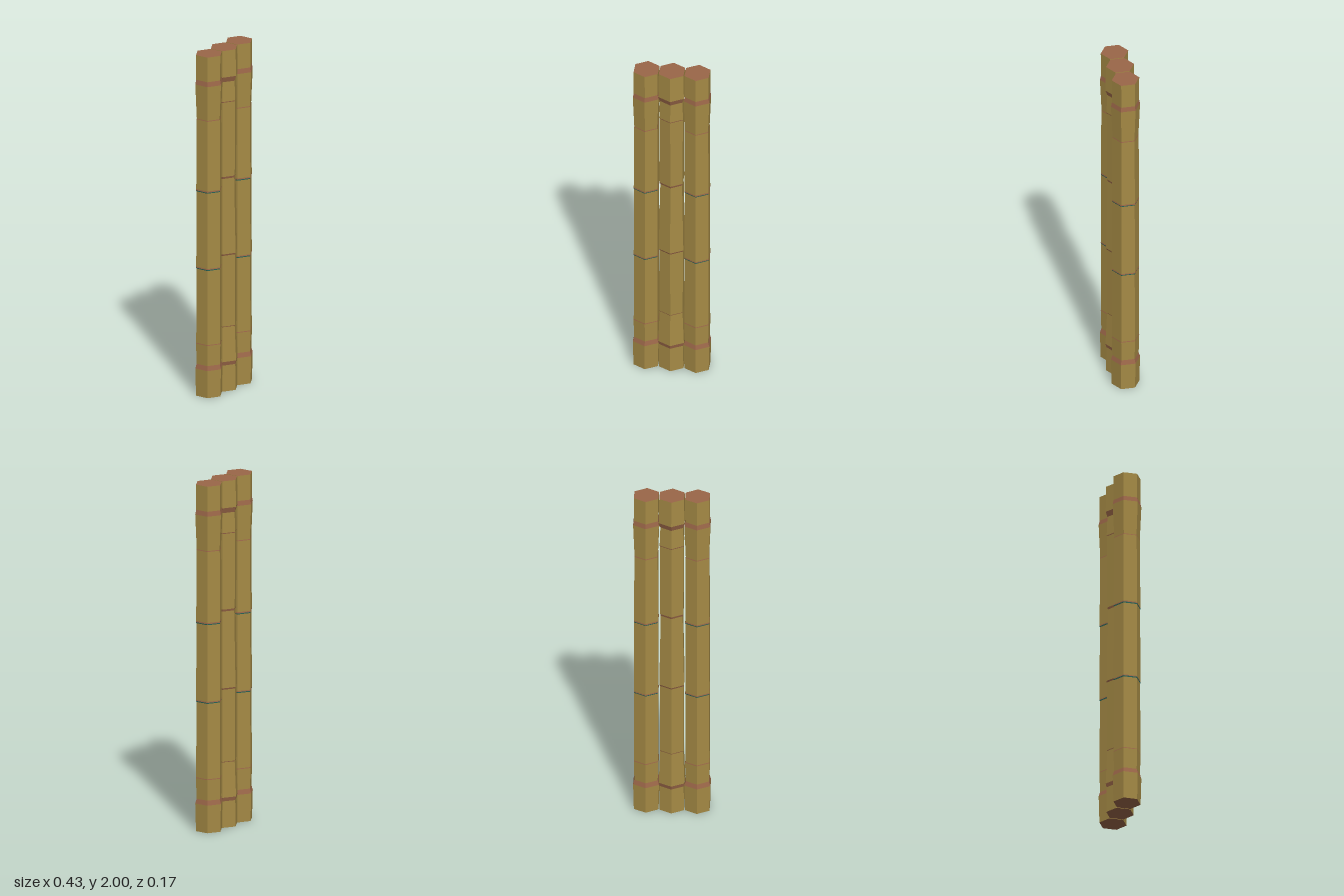
import * as THREE from 'three';
import { mergeGeometries } from 'three/addons/utils/BufferGeometryUtils.js';

const bamboo = new THREE.MeshStandardMaterial({ name: 'bamboo', color: 0xa58a45 });
const brown = new THREE.MeshStandardMaterial({ name: 'reddish brown', color: 0x9a6648 });
const teal = new THREE.MeshStandardMaterial({ name: 'teal', color: 0x2f7568 });
const materials = { bamboo, brown, teal };

// Rows run upward: height, half width across flats, colour of the stretch above
const OUTER = [
  [0, 0.068, 'bamboo'], [0.16, 0.072, 'brown'], [0.187, 0.065, 'bamboo'],
  [0.306, 0.068, 'brown'], [0.311, 0.067, 'bamboo'],
  [0.746, 0.066, 'teal'], [0.752, 0.068, 'brown'], [0.758, 0.067, 'bamboo'],
  [1.2, 0.066, 'teal'], [1.206, 0.068, 'brown'], [1.213, 0.067, 'bamboo'],
  [1.622, 0.065, 'brown'], [1.627, 0.064, 'bamboo'],
  [1.828, 0.072, 'brown'], [1.855, 0.067, 'bamboo'], [2, 0.068],
];
const MIDDLE = [
  [0, 0.069, 'bamboo'], [0.152, 0.067, 'brown'], [0.174, 0.072, 'bamboo'],
  [0.376, 0.064, 'brown'], [0.38, 0.065, 'bamboo'],
  [0.796, 0.066, 'brown'], [0.805, 0.069, 'bamboo'],
  [1.246, 0.061, 'brown'], [1.258, 0.064, 'bamboo'],
  [1.695, 0.066, 'brown'], [1.7, 0.067, 'bamboo'],
  [1.815, 0.063, 'brown'], [1.845, 0.072, 'bamboo'], [2, 0.069],
];

const toRadius = (apothem) => apothem / Math.cos(Math.PI / 6);

// Hexagonal stalk: one faceted mesh per colour, plus its cut ends
function makePole(name, rows, x) {
  const pole = new THREE.Group();
  pole.name = name;
  const parts = { bamboo: [], brown: [], teal: [] };
  for (let i = 0; i < rows.length - 1; i++) {
    const [y0, a0, colour] = rows[i];
    const [y1, a1] = rows[i + 1];
    const g = new THREE.CylinderGeometry(toRadius(a1), toRadius(a0), y1 - y0, 6, 1, true);
    parts[colour].push(g.translate(0, (y0 + y1) / 2, 0).toNonIndexed());
  }
  const names = { bamboo: 'stalk', brown: 'nodeRings', teal: 'nodeLines' };
  for (const key of Object.keys(parts)) {
    if (!parts[key].length) continue;
    const geometry = mergeGeometries(parts[key]);
    geometry.computeVertexNormals();
    const mesh = new THREE.Mesh(geometry, materials[key]);
    mesh.name = names[key];
    pole.add(mesh);
  }
  for (const top of [true, false]) {
    const [y, a] = rows[top ? rows.length - 1 : 0];
    const cap = new THREE.CircleGeometry(toRadius(a), 6, Math.PI / 2);
    cap.rotateX(top ? -Math.PI / 2 : Math.PI / 2);
    const mesh = new THREE.Mesh(cap, brown);
    mesh.name = top ? 'topEnd' : 'bottomEnd';
    mesh.position.y = y;
    pole.add(mesh);
  }
  pole.position.x = x;
  return pole;
}

export function createModel() {
  const group = new THREE.Group();
  group.name = 'bambooPoles';
  group.add(
    makePole('rightPole', OUTER, -0.143),
    makePole('middlePole', MIDDLE, 0),
    makePole('leftPole', OUTER, 0.143),
  );
  return group;
}
